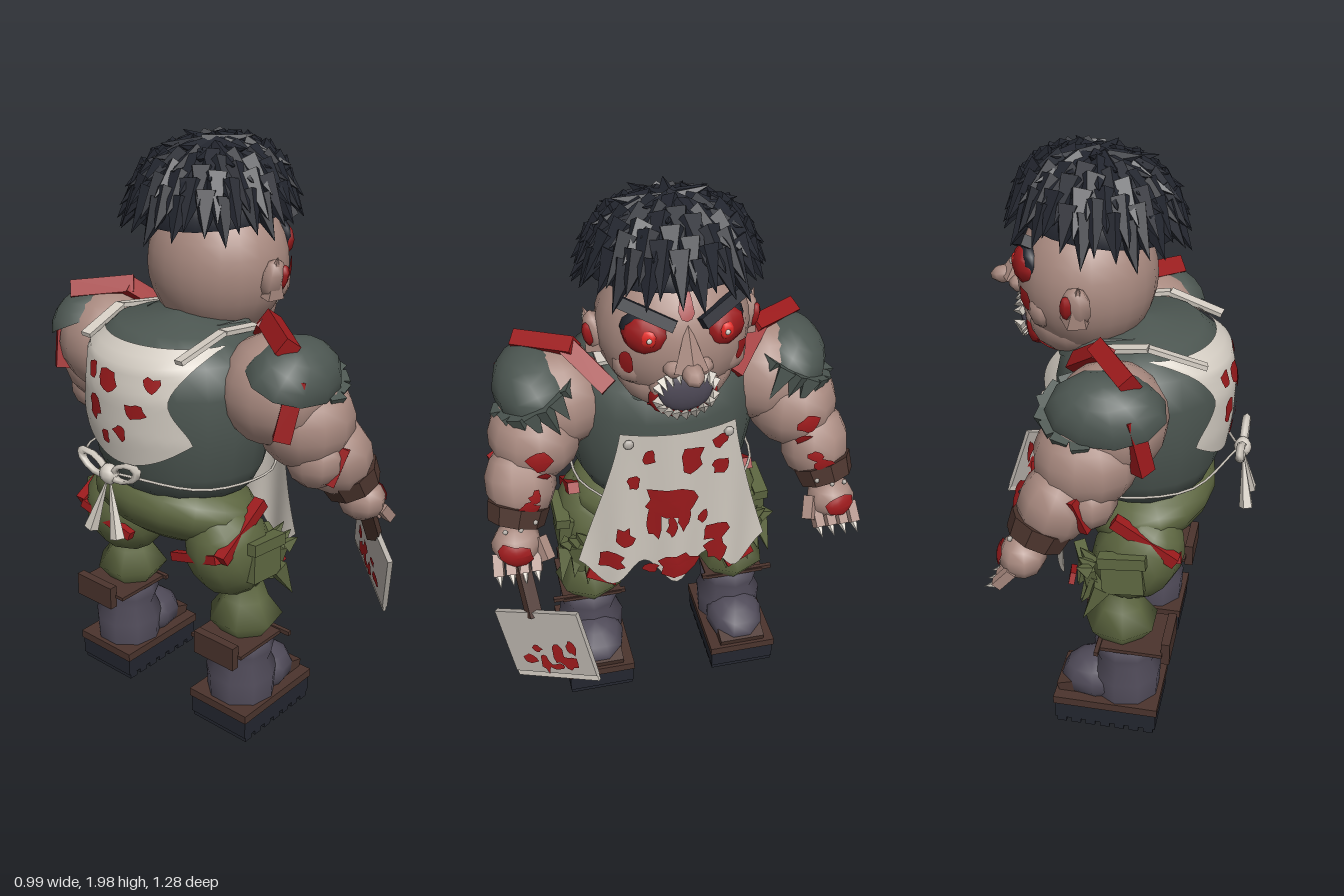
import * as THREE from 'three';

const mat = (name, color) => new THREE.MeshStandardMaterial({ name, color, side: THREE.DoubleSide });
const M = {
  skin: mat('skin', 0xa98a80), hair: mat('charcoal', 0x23262f), shirt: mat('shirt green', 0x4c5651),
  pants: mat('olive cloth', 0x5d6640), cream: mat('apron cream', 0xd3ccc2), red: mat('blood red', 0x9c1a1c),
  glow: mat('bright red', 0xe42a26), brown: mat('leather brown', 0x4b342d), boot: mat('boot purple', 0x504b59),
  metal: mat('blade grey', 0xb5afa8),
};
const V = (a) => new THREE.Vector3(...a);
let seed = 7;
const rnd = () => (seed = (seed * 16807) % 2147483647) / 2147483647;

export function createModel() {
  const root = new THREE.Group();
  root.name = 'butcher';
  root.rotation.y = Math.PI / 2;

  const add = (name, geo, m, pos = [0, 0, 0], rot = [0, 0, 0], parent = root) => {
    const o = new THREE.Mesh(geo, m);
    o.name = name;
    o.position.set(...pos);
    o.rotation.set(...rot);
    parent.add(o);
    return o;
  };
  const flat = (g) => { const n = g.toNonIndexed(); n.computeVertexNormals(); return n; };
  const ell = (name, m, c, r, rot, seg = 14, parent = root) =>
    add(name, new THREE.SphereGeometry(1, seg, Math.ceil(seg * 0.7)).scale(...r), m, c, rot, parent);
  const box = (name, m, c, s, rot, parent) => add(name, new THREE.BoxGeometry(...s), m, c, rot, parent);
  const lathe = (name, m, pts, seg, c, s = [1, 1, 1]) =>
    add(name, new THREE.LatheGeometry(pts.map((p) => new THREE.Vector2(...p)), seg).scale(...s), m, c);
  // a part stretched from point a to point b
  const along = (o, a, b) => {
    o.position.copy(V(a)).lerp(V(b), 0.5);
    o.quaternion.setFromUnitVectors(new THREE.Vector3(0, 1, 0), V(b).sub(V(a)).normalize());
    return o;
  };
  const bar = (name, m, a, b, w, d, parent) =>
    along(box(name, m, [0, 0, 0], [w, V(a).distanceTo(V(b)), d], [0, 0, 0], parent), a, b);
  const spike = (name, m, a, b, r, parent, sides = 5) =>
    along(add(name, flat(new THREE.ConeGeometry(r, V(a).distanceTo(V(b)), sides)), m, [0, 0, 0], [0, 0, 0], parent), a, b);
  // irregular thin stain laid on a surface z = fn(x, y)
  const splat = (fn, x, y, rx, ry, off = 0.006, parent = root) => {
    const g = new THREE.RingGeometry(0.001, 1, 11, 4), p = g.attributes.position;
    const jag = Array.from({ length: 11 }, () => 0.65 + rnd() * 0.6);
    for (let i = 0; i < p.count; i++) {
      const k = jag[(i % 12) % 11], px = x + p.getX(i) * rx * k, py = y + p.getY(i) * ry * k;
      p.setXYZ(i, px, py, fn(px, py) + off);
    }
    g.computeVertexNormals();
    return add('stain', g, M.red, [0, 0, 0], [0, 0, 0], parent);
  };
  // cloth sheet, half width w(t), from top to bottom(u)
  const sheet = (name, fn, w, top, bottom) => {
    const g = new THREE.PlaneGeometry(2, 1, 36, 14), p = g.attributes.position;
    for (let i = 0; i < p.count; i++) {
      const u = p.getX(i), t = 0.5 - p.getY(i), x = u * w(t), y = top + (bottom(u) - top) * t;
      p.setXYZ(i, x, y, fn(x, y));
    }
    g.computeVertexNormals();
    return add(name, g, M.cream);
  };
  const ellZ = (c, r) => (x, y) =>
    c[2] + r[2] * Math.sqrt(Math.max(0, 1 - ((x - c[0]) / r[0]) ** 2 - ((y - c[1]) / r[1]) ** 2));

  // torso
  const prof = [[0, 0.87], [0.26, 0.88], [0.3, 0.96], [0.325, 1.1], [0.33, 1.24], [0.305, 1.34], [0.22, 1.41], [0, 1.44]];
  lathe('torso', M.shirt, prof, 20, [0, 0, -0.1], [1, 1, 0.87]);
  lathe('collar', M.shirt, [[0.2, 1.33], [0.18, 1.42], [0.14, 1.4]], 9, [0, 0, 0]);

  // apron front with folds
  const apron = (x, y) => {
    const t = (1.23 - y) / 0.65;
    return 0.225 - 0.05 * t - (1.1 - 0.5 * t) * x * x + 0.012 * t * Math.cos(x * 34);
  };
  sheet('apronFront', apron, (t) => 0.19 + 0.145 * t ** 1.2, 1.23, (u) => 0.605 - 0.055 * Math.cos(u * 9));
  [[0.04, 1.12, 0.04, 0.06], [0.14, 1.06, 0.03, 0.035], [-0.1, 1.14, 0.02, 0.03], [0.14, 1.17, 0.03, 0.03],
    [-0.03, 0.94, 0.1, 0.07], [-0.08, 0.86, 0.03, 0.09], [0.02, 0.87, 0.02, 0.07], [-0.02, 0.82, 0.02, 0.05],
    [0, 0.64, 0.07, 0.055], [0.13, 0.76, 0.05, 0.05], [0.14, 0.67, 0.04, 0.06], [-0.18, 0.78, 0.03, 0.05],
    [-0.23, 0.67, 0.05, 0.04], [-0.09, 0.62, 0.03, 0.02], [0.09, 0.84, 0.02, 0.03], [-0.15, 1.03, 0.02, 0.03],
  ].forEach((b) => splat(apron, ...b));

  // apron back panel following the torso
  const back = (x, y) => {
    const i = Math.max(1, prof.findIndex((p) => p[1] >= y)), [a, b] = [prof[i - 1], prof[i]];
    const r = a[0] + (b[0] - a[0]) * (y - a[1]) / (b[1] - a[1]);
    return -0.115 - 0.88 * Math.sqrt(Math.max(0, r * r - x * x));
  };
  sheet('apronBack', back, (t) => 0.21 + 0.03 * Math.cos(t * 6), 1.39, (u) => 1.0 + 0.1 * u * u);
  [[0.03, 1.28, 0.04, 0.04], [-0.08, 1.2, 0.04, 0.03], [0.1, 1.17, 0.03, 0.04], [-0.02, 1.12, 0.03, 0.03],
    [0.12, 1.29, 0.025, 0.03], [-0.13, 1.29, 0.03, 0.025], [0.05, 1.08, 0.02, 0.03]].forEach((b) => splat(back, ...b, -0.006));

  // bow
  ell('bowKnot', M.cream, [0, 0.98, -0.44], [0.035, 0.035, 0.03], [0, 0, 0], 8);
  for (const s of [-1, 1]) {
    add('bowLoop', new THREE.TorusGeometry(0.045, 0.014, 5, 10).scale(1.3, 0.6, 1), M.cream, [s * 0.07, 1.0, -0.44], [0, 0, s * 0.4]);
    spike('bowTail', M.cream, [s * 0.06, 0.78, -0.47], [0, 0.98, -0.44], 0.025);
    // ties, shoulder straps and buttons
    const tie = new THREE.CatmullRomCurve3([[0.22, 0.93, 0.15], [0.31, 0.93, -0.02], [0.26, 0.95, -0.29], [0, 0.98, -0.43]].map(([x, y, z]) => V([s * x, y, z])));
    add('apronTie', new THREE.TubeGeometry(tie, 14, 0.005, 4), M.cream);
    const strap = [[0.21, 1.4, 0.03], [0.22, 1.425, -0.15], [0.2, 1.37, -0.33]].map(([x, y, z]) => [s * x, y, z]);
    strap.slice(1).forEach((p, i) => bar('apronStrap', M.cream, strap[i], p, 0.035, 0.015));
    ell('apronButton', M.metal, [s * 0.165, 1.195, 0.2], [0.018, 0.018, 0.01], [0, 0, 0], 7);
  }

  // head
  const hc = [0, 1.57, 0.085], hr = [0.24, 0.25, 0.225], face = ellZ(hc, hr);
  const jc = [0, 1.43, 0.12], jr = [0.185, 0.125, 0.165];
  ell('head', M.skin, hc, hr, [0, 0, 0], 22);
  ell('jaw', M.skin, jc, jr, [0, 0, 0], 16);
  ell('lips', M.skin, [0, 1.44, 0.25], [0.108, 0.095, 0.04], [0.1, 0, 0]);
  ell('bloodyChin', M.red, [0, 1.4, 0.25], [0.112, 0.085, 0.037], [0.1, 0, 0], 9);
  ell('mouth', M.boot, [0, 1.43, 0.275], [0.086, 0.078, 0.03], [0.1, 0, 0]);
  for (let i = 0; i < 20; i++) {
    const a = i / 20 * Math.PI * 2, c = Math.cos(a), s = Math.sin(a);
    if (Math.abs(s) > 0.25)
      spike('tooth', M.cream, [c * 0.094, 1.43 + s * 0.085, 0.28], [c * 0.08, 1.43 + s * 0.05, 0.318], 0.018, root, 4);
  }
  spike('noseBridge', M.skin, [0, 1.53, 0.325], [0, 1.68, 0.28], 0.055);
  ell('noseTip', M.skin, [0, 1.54, 0.36], [0.034, 0.03, 0.05], [0.2, 0, 0], 7);
  splat(face, 0, 1.72, 0.025, 0.035, 0.012);
  for (const s of [-1, 1]) {
    ell('nostril', M.skin, [s * 0.045, 1.53, 0.3], [0.032, 0.028, 0.035], [0, 0, 0], 7);
    ell('cheek', M.skin, [s * 0.13, 1.5, 0.19], [0.08, 0.07, 0.06], [0, 0, 0], 10);
    ell('eyeShadow', M.hair, [s * 0.12, 1.645, 0.248], [0.076, 0.06, 0.03], [0, s * 0.45, 0], 8);
    ell('eyeSocket', M.red, [s * 0.12, 1.63, 0.255], [0.073, 0.062, 0.042], [0, s * 0.45, 0], 8);
    ell('iris', M.glow, [s * 0.117, 1.633, 0.288], [0.03, 0.03, 0.015], [0, s * 0.35, 0], 6);
    ell('pupil', M.cream, [s * 0.117, 1.633, 0.303], [0.009, 0.009, 0.005], [0, 0, 0], 6);
    bar('eyebrow', M.hair, [s * 0.04, 1.67, 0.3], [s * 0.19, 1.73, 0.225], 0.035, 0.035);
    spike('ear', M.skin, [s * 0.225, 1.5, 0.075], [s * 0.27, 1.63, 0.055], 0.05);
    ell('earLobe', M.skin, [s * 0.24, 1.55, 0.07], [0.035, 0.07, 0.05], [0, 0, -s * 0.2], 7);
    ell('earInside', M.red, [s * 0.262, 1.555, 0.095], [0.018, 0.042, 0.022], [0, 0, -s * 0.2], 6);
    splat(face, s * 0.175, 1.54, 0.018, 0.04, 0.014);
    splat(ellZ(jc, jr), s * 0.08, 1.345, 0.035, 0.02);
  }

  // hair cap and broad tufts
  const hair = new THREE.Group();
  hair.name = 'hair';
  root.add(hair);
  add('hairCap', new THREE.SphereGeometry(1, 18, 8, 0, Math.PI * 2, 0, Math.PI * 0.5).scale(0.255, 0.19, 0.255), M.hair, [0, 1.75, 0.05], [-0.12, 0, 0], hair);
  for (let i = 0; i < 95; i++) {
    const h = 1 - 0.98 * (i + 0.5) / 95, r = Math.sqrt(1 - h * h), a = i * 2.39996;
    const n = V([Math.cos(a) * r, h, Math.sin(a) * r]);
    const p = V([n.x * 0.25, 1.762 + n.y * 0.185 + n.z * 0.025, 0.05 + n.z * 0.25]);
    const d = V([Math.cos(a) * (1.1 - r), -0.9 * r, Math.sin(a) * (1.1 - r)]).addScaledVector(n, 0.45).normalize();
    const len = 0.13 + rnd() * 0.04;
    const tip = p.clone().addScaledVector(d, len * 0.6), base = p.clone().addScaledVector(d, -len * 0.4);
    spike('hairTuft', M.hair, base.toArray(), tip.toArray(), 0.048, hair);
  }

  for (const s of [-1, 1]) {
    const P = (x, y, z) => [s * x, y, z];
    // arms
    ell('shoulder', M.skin, P(0.36, 1.25, -0.06), [0.185, 0.18, 0.18]);
    const ua = P(0.44, 1.15, 0), ur = [0.155, 0.16, 0.165];
    ell('upperArm', M.skin, ua, ur, [0, 0, 0], 12);
    const fa = P(0.505, 1.02, 0.08), fr = [0.12, 0.14, 0.12];
    ell('forearm', M.skin, fa, fr, [-0.3, 0, 0], 10);
    ell('elbow', M.skin, P(0.49, 1.04, -0.02), [0.1, 0.1, 0.09], [0, 0, 0], 9);
    for (const [c, r, x, y, w] of [[ua, ur, 0.45, 1.15, 0.04], [ua, ur, 0.44, 1.08, 0.03], [fa, fr, 0.47, 1.04, 0.025], [fa, fr, 0.5, 1.0, 0.035]])
      splat(ellZ(c, r), s * x, y, w, w * 0.9, 0.012);
    add('wristBand', flat(new THREE.CylinderGeometry(0.105, 0.095, 0.065, 9)), M.brown, P(0.53, 0.93, 0.13), [-0.4, 0, s * 0.25]);
    for (let i = -1; i < 2; i++) ell('wristStud', M.metal, P(0.53 + i * 0.05, 0.93 - i * 0.012, 0.225 - Math.abs(i) * 0.015), [0.009, 0.009, 0.009], [0, 0, 0], 6);
    // hand
    const hand = P(0.545, 0.84, 0.18), handR = [0.085, 0.075, 0.075];
    ell('hand', M.skin, hand, handR, [0, 0, 0], 9);
    splat(ellZ(hand, handR), s * 0.55, 0.845, 0.055, 0.045, 0.008);
    for (let i = 0; i < 4; i++) {
      const x = 0.485 + i * 0.042;
      bar('finger', M.skin, P(x, 0.82, 0.2), P(x + 0.005, 0.765, 0.25), 0.033, 0.033);
      spike('fingernail', M.cream, P(x + 0.005, 0.765, 0.25), P(x + 0.005, 0.75, 0.29), 0.013);
    }
    bar('thumb', M.skin, P(0.47, 0.86, 0.19), P(0.45, 0.8, 0.24), 0.035, 0.035);
    // torn sleeve on the outer shoulder
    const sleeve = new THREE.Group();
    sleeve.name = 'sleeve';
    sleeve.position.set(...P(0.42, 1.29, -0.06));
    sleeve.rotation.z = -s * 0.45;
    root.add(sleeve);
    add('sleeveCap', new THREE.SphereGeometry(1, 11, 5, 0, Math.PI * 2, 0, 1.4).scale(0.14, 0.145, 0.19), M.shirt, [0, 0, 0], [0, 0, 0], sleeve);
    for (let i = 0; i < 7; i++) {
      const a = (0.1 + i / 6 * 0.65) * Math.PI, c = s * Math.cos(a), z = Math.sin(a), l = 0.05 + rnd() * 0.05;
      spike('sleeveTatter', M.shirt, [c * 0.13, 0.03, z * 0.18], [c * 0.15, -l, z * 0.195], 0.04, sleeve, 4);
    }
    // blood soaked bands
    bar('shoulderBand', M.red, P(0.465, 1.42, -0.14), P(0.29, 1.445, -0.01), 0.06, 0.055);
    bar('shoulderBand', M.red, P(0.31, 1.44, -0.03), P(0.2, 1.34, 0.08), 0.06, 0.06);
    bar('sleeveBand', M.red, P(0.5, 1.34, -0.14), P(0.48, 1.15, -0.18), 0.06, 0.055);
    bar('elbowBand', M.red, P(0.575, 1.09, 0.01), P(0.55, 0.97, -0.03), 0.03, 0.05);

    // trousers
    ell('thigh', M.pants, P(0.235, 0.67, -0.13), [0.14, 0.185, 0.15], [-0.5, 0, 0], 12);
    bar('hipBand', M.red, P(0.32, 0.71, -0.27), P(0.315, 0.84, -0.06), 0.04, 0.04);
    bar('seatBand', M.red, P(0.31, 0.71, -0.27), P(0.1, 0.64, -0.25), 0.03, 0.03);
    box('pocket', M.pants, P(0.355, 0.66, -0.1), [0.05, 0.13, 0.14], [0.1, 0, s * 0.08]);
    box('pocketFlap', M.pants, P(0.365, 0.72, -0.1), [0.05, 0.04, 0.16], [0.1, 0, s * 0.08]);
    box('kneePatch', M.pants, P(0.27, 0.6, 0.04), [0.15, 0.13, 0.04], [0.2, s * 0.4, -s * 0.3]);
    for (let i = 0; i < 5; i++)
      spike('trouserTatter', M.pants, P(0.2 + i * 0.04, 0.6, 0.05 - i * 0.02), P(0.21 + i * 0.045, 0.48 + 0.03 * (i % 2), 0.09 - i * 0.015), 0.04, root, 4);
    for (let i = 0; i < 3; i++) spike('hipTatter', M.pants, P(0.3 + i * 0.03, 0.66, 0.02), P(0.33 + i * 0.03, 0.73 - i * 0.02, 0.05), 0.03, root, 4);
    bar('kneeCut', M.red, P(0.2, 0.53, 0.105), P(0.3, 0.57, 0.085), 0.04, 0.02);
    lathe('trouserCuff', M.pants, [[0.06, 0.32], [0.13, 0.41], [0.08, 0.48], [0.06, 0.54]], 7, P(0.27, 0, -0.08));

    // boots
    lathe('bootShaft', M.boot, [[0.12, 0.11], [0.125, 0.2], [0.1, 0.26], [0.115, 0.3], [0.1, 0.34], [0, 0.345]], 9, P(0.275, 0, -0.1));
    ell('bootToe', M.boot, P(0.275, 0.155, 0), [0.11, 0.09, 0.135], [0.15, 0, 0], 10);
    box('bootWelt', M.brown, P(0.275, 0.1, -0.045), [0.25, 0.03, 0.37]);
    box('toeGuard', M.brown, P(0.275, 0.13, 0.09), [0.17, 0.05, 0.08], [0.3, 0, 0]);
    box('bootSole', M.hair, P(0.275, 0.055, -0.045), [0.24, 0.07, 0.36]);
    for (let i = 0; i < 7; i++) box('soleTread', M.hair, P(0.275, 0.012, -0.2 + i * 0.052), [0.235, 0.024, 0.034]);
    box('bootStrap', M.brown, P(0.275, 0.35, -0.125), [0.22, 0.013, 0.23]);
    box('strapBuckle', M.brown, P(0.285, 0.35, -0.25), [0.17, 0.085, 0.03]);
    bar('strapPin', M.brown, P(0.15, 0.352, -0.02), P(0.42, 0.355, -0.02), 0.015, 0.015);
  }
  ell('hips', M.pants, [0, 0.79, -0.13], [0.32, 0.135, 0.23], [0.25, 0, 0], 16);

  // cleaver
  bar('cleaverHandle', M.brown, [-0.55, 0.87, 0.17], [-0.52, 0.63, 0.32], 0.045, 0.04);
  const cleaver = new THREE.Group();
  cleaver.name = 'cleaver';
  const u = V([0.25, 0.107, 0.185]).normalize(), v = V([-0.055, 0.25, -0.075]).normalize();
  cleaver.applyMatrix4(new THREE.Matrix4().makeBasis(u, v, u.clone().cross(v)).setPosition(-0.488, 0.534, 0.367));
  root.add(cleaver);
  box('blade', M.metal, [0, 0.012, 0], [0.33, 0.245, 0.018], [0, 0, 0], cleaver);
  box('bladeEdge', M.cream, [0, -0.12, 0], [0.33, 0.025, 0.01], [0, 0, 0], cleaver);
  for (const o of [0.013, -0.013])
    [[-0.08, -0.05, 0.03, 0.02], [-0.02, -0.07, 0.02, 0.035], [0.04, -0.03, 0.025, 0.04], [0.08, -0.06, 0.03, 0.03],
      [0.1, 0, 0.018, 0.03], [-0.04, -0.01, 0.02, 0.015], [0.02, -0.08, 0.03, 0.015]].forEach((b) => splat(() => 0, ...b, o, cleaver));
  return root;
}
